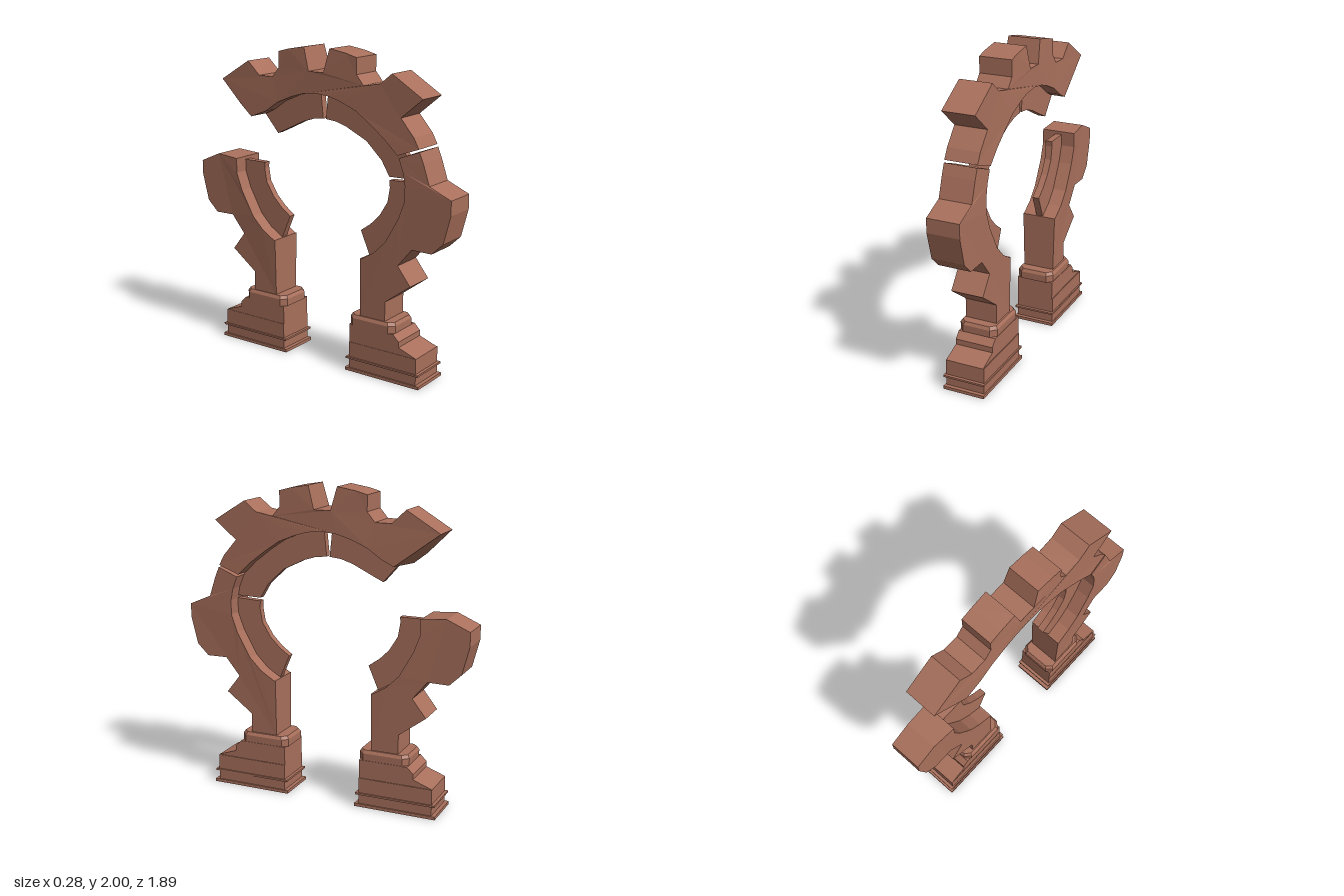
import * as THREE from 'three';

const CX = -0.01; // middle of the arch across its thickness
const stone = new THREE.MeshStandardMaterial({ color: 0xa9705c, flatShading: true });

// Slab from a (z, y) outline, given a thickness along x.
function slab(name, pts, width, adjust, cx = CX) {
  let outline = pts.map(([z, y]) => new THREE.Vector2(z, y));
  const geo = new THREE.ExtrudeGeometry(new THREE.Shape(outline), { depth: width, bevelEnabled: false });
  geo.translate(0, 0, -width / 2);
  geo.rotateY(-Math.PI / 2);
  if (adjust) {
    const p = geo.attributes.position, v = new THREE.Vector3();
    for (let i = 0; i < p.count; i++) {
      v.fromBufferAttribute(p, i);
      adjust(v);
      p.setXYZ(i, v.x, v.y, v.z);
    }
    geo.computeVertexNormals();
  }
  geo.translate(cx, 0, 0);
  const mesh = new THREE.Mesh(geo, stone);
  mesh.name = name;
  return mesh;
}

const flip = (pts) => pts.map(([z, y]) => [-z, y]);
const rev = (pts) => [...pts].reverse();

// The arch swells slightly towards its inner rim.
function swell(v) {
  if (Math.hypot(v.z, v.y - 1.17) < 0.7) v.x *= 1.08;
}

// Slanted break at the loose end of the upper arch.
function swellAndBreak(v) {
  swell(v);
  const broken = v.z < -0.45 && v.z > -0.61 && v.y < 1.66;
  if (broken && v.x < 0) {
    v.z -= v.z < -0.55 ? 0.005 : 0.045;
    v.y -= v.z < -0.55 ? 0.035 : 0.01;
  }
}

// Rim between arch and thin inner ring, from the top downwards
const rimTop = [[0.1, 1.715], [0.185, 1.69], [0.295, 1.645], [0.39, 1.58]];
const rimLow = [[0.64, 1.245], [0.64, 1.15], [0.6, 1.04], [0.51, 0.88], [0.43, 0.8], [0.34, 0.745]];
const innerTop = [[0.01, 1.558], [0.085, 1.55], [0.165, 1.525], [0.31, 1.455]];
const innerLow = [[0.48, 1.19], [0.465, 1.1], [0.41, 1.01], [0.345, 0.945], [0.275, 0.895]];

// Outer teeth
const topTooth = [[0.34, 1.8], [0.29, 1.86], [0.29, 1.96], [0.215, 1.98], [0.095, 2], [0.055, 1.855]];
const sideTooth = [[0.945, 1.195], [0.945, 1.105], [0.9, 0.93], [0.825, 0.858], [0.69, 0.86],
  [0.595, 0.745], [0.685, 0.63], [0.51, 0.5], [0.51, 0.37], [0.33, 0.37], [0.33, 0.745]];

function createBase(side) {
  const base = new THREE.Group();
  base.name = side > 0 ? 'frontBase' : 'backBase';
  const box = (name, z0, z1, y0, y1, w) => {
    const m = new THREE.Mesh(new THREE.BoxGeometry(w, y1 - y0, z1 - z0), stone);
    m.position.set(-0.0025, (y0 + y1) / 2, side * (z0 + z1) / 2);
    m.name = name;
    base.add(m);
  };
  box('footPlate', 0.235, 0.77, 0, 0.02, 0.275);
  box('footLip', 0.24, 0.765, 0.08, 0.092, 0.275);

  // Stepped plinth, its upper stage a little narrower
  const lower = [[0.26, 0.01], [0.745, 0.01], [0.745, 0.19], [0.26, 0.19]];
  const upper = [[0.26, 0.19], [0.745, 0.19], [0.62, 0.235], [0.62, 0.27], [0.58, 0.31], [0.26, 0.31]];
  const place = (pts) => (side > 0 ? pts : flip(pts));
  base.add(slab('plinth', place(lower), 0.258, null, -0.0025));
  base.add(slab('plinthStep', place(upper), 0.25, null, -0.004));

  // Collar with cut corners and a sloping top
  const collar = (name, z0, z1, w, y0, y1, inset) => {
    const c = 0.035, h = w / 2, d = (z1 - z0) / 2;
    const s = new THREE.Shape([[h, d - c], [h - c, d], [c - h, d], [-h, d - c], [-h, c - d],
      [c - h, -d], [h - c, -d], [h, c - d]].map(([x, y]) => new THREE.Vector2(x, y)));
    const geo = new THREE.ExtrudeGeometry(s, { depth: y1 - y0, bevelEnabled: false });
    geo.rotateX(-Math.PI / 2);
    const p = geo.attributes.position;
    for (let i = 0; i < p.count; i++) {
      if (p.getY(i) > 0.001) {
        p.setX(i, p.getX(i) * (1 - inset / h));
        p.setZ(i, p.getZ(i) * (1 - inset / d));
      }
    }
    geo.computeVertexNormals();
    const m = new THREE.Mesh(geo, stone);
    m.position.set(-0.008, y0, side * (z0 + z1) / 2);
    m.name = name;
    base.add(m);
  };
  collar('collar', 0.25, 0.58, 0.252, 0.308, 0.355, 0);
  collar('collarTop', 0.25, 0.58, 0.252, 0.355, 0.375, 0.012);
  return base;
}

export function createModel() {
  const gate = new THREE.Group();
  gate.name = 'brokenRingGate';

  // Upper arch with four teeth
  gate.add(slab('upperArch', [
    [0.725, 1.465], [0.69, 1.53], [0.6, 1.635], [0.745, 1.755], [0.535, 1.885], [0.455, 1.82],
    ...topTooth, ...rev(flip(topTooth)),
    [-0.445, 1.8], [-0.535, 1.885], [-0.75, 1.755], [-0.595, 1.64], [-0.465, 1.545],
    ...rev(flip(rimTop)), [0, 1.725], ...rimTop, [0.5, 1.495], [0.585, 1.415],
  ], 0.21, swellAndBreak));

  // Side arches, each one piece with its leg
  gate.add(slab('frontArch', [
    [0.73, 1.45], [0.757, 1.385], [0.8, 1.258], ...sideTooth,
    ...rev(rimLow), [0.625, 1.32], [0.595, 1.4],
  ], 0.21, swell));
  gate.add(slab('backArch', flip([[0.64, 1.245], [0.8, 1.258], ...sideTooth, ...rev(rimLow).slice(0, -1)]), 0.21, swell));

  // Thin inner ring in four pieces, set midway through the thickness
  const ringWidth = 0.045;
  gate.add(slab('upperFrontRing', [
    [0.027, 1.724], ...rimTop, [0.5, 1.495], [0.59, 1.405], [0.625, 1.32], [0.638, 1.262],
    [0.475, 1.258], [0.42, 1.35], ...rev(innerTop),
  ], ringWidth));
  gate.add(slab('upperBackRing', flip([
    [0.027, 1.724], ...rimTop, [0.465, 1.545], [0.365, 1.43], ...rev(innerTop),
  ]), ringWidth));
  gate.add(slab('lowerFrontRing', [...rimLow, ...rev(innerLow), [0.477, 1.237]], ringWidth));
  gate.add(slab('lowerBackRing', flip([[0.64, 1.225], ...rimLow.slice(1), ...rev(innerLow), [0.477, 1.225]]), ringWidth));

  gate.add(createBase(1), createBase(-1));
  return gate;
}
